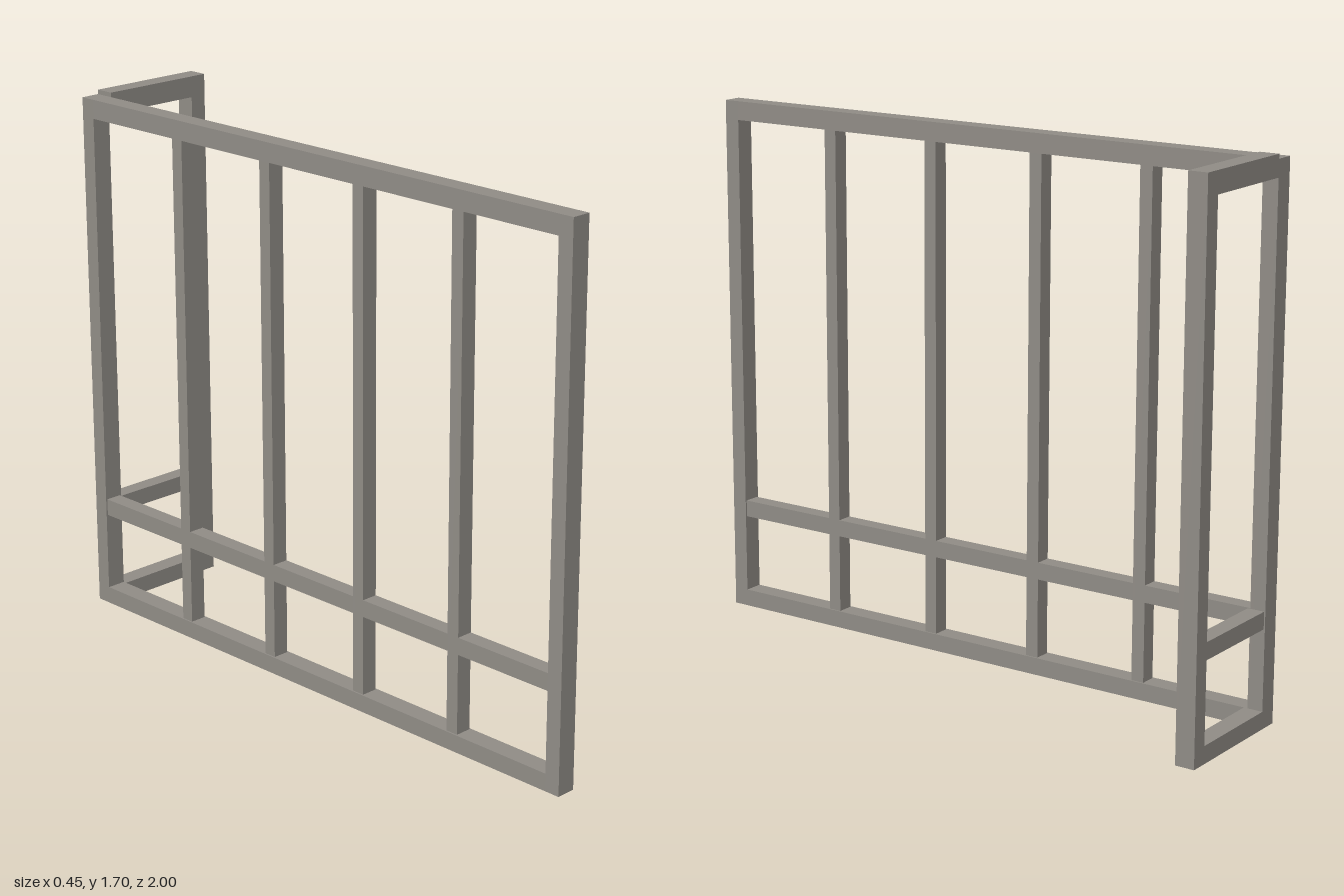
import * as THREE from 'three';

export function createModel() {
  const model = new THREE.Group();
  const steel = new THREE.MeshStandardMaterial({ color: 0x8f8b85 });
  steel.name = 'warm grey steel';

  // Box bar given by its limits on each axis
  const bar = (parent, name, [x0, x1], [y0, y1], [z0, z1]) => {
    const mesh = new THREE.Mesh(new THREE.BoxGeometry(x1 - x0, y1 - y0, z1 - z0), steel);
    mesh.name = name;
    mesh.position.set((x0 + x1) / 2, (y0 + y1) / 2, (z0 + z1) / 2);
    parent.add(mesh);
  };

  // Long frame running front to back
  const longFrame = new THREE.Group();
  longFrame.name = 'longFrame';
  const deep = [-0.225, -0.162], slim = [-0.22, -0.167];
  const top = 1.683, topRail = 1.623, sill = 0.055;
  bar(longFrame, 'bottomRail', deep, [0, sill], [-0.95, 0.95]);
  bar(longFrame, 'topRail', deep, [topRail, top], [-0.95, 0.95]);
  bar(longFrame, 'frontPost', deep, [0, top], [0.95, 1]);
  bar(longFrame, 'cornerPost', deep, [0, top], [-1, -0.95]);

  // Studs, with the middle rail pieces fitted between them
  const half = 0.021;
  const studs = [0.584, 0.2, -0.185, -0.568];
  for (const z of studs) bar(longFrame, 'stud', slim, [sill, topRail], [z - half, z + half]);
  const stops = [0.95 + half, ...studs, -0.95 - half];
  for (let i = 0; i < stops.length - 1; i++) {
    bar(longFrame, 'middleRail', slim, [0.308, 0.362], [stops[i + 1] + half, stops[i] - half]);
  }

  // Short return frame at the back
  const returnFrame = new THREE.Group();
  returnFrame.name = 'returnFrame';
  const depth = [-1, -0.938], span = [-0.162, 0.17];
  bar(returnFrame, 'endPost', [0.17, 0.225], [0, 1.697], depth);
  bar(returnFrame, 'bottomRail', span, [0, sill], depth);
  bar(returnFrame, 'middleRail', span, [0.308, 0.362], [-0.996, -0.942]);
  bar(returnFrame, 'topRail', span, [1.63, 1.697], depth);

  model.add(longFrame, returnFrame);
  return model;
}
